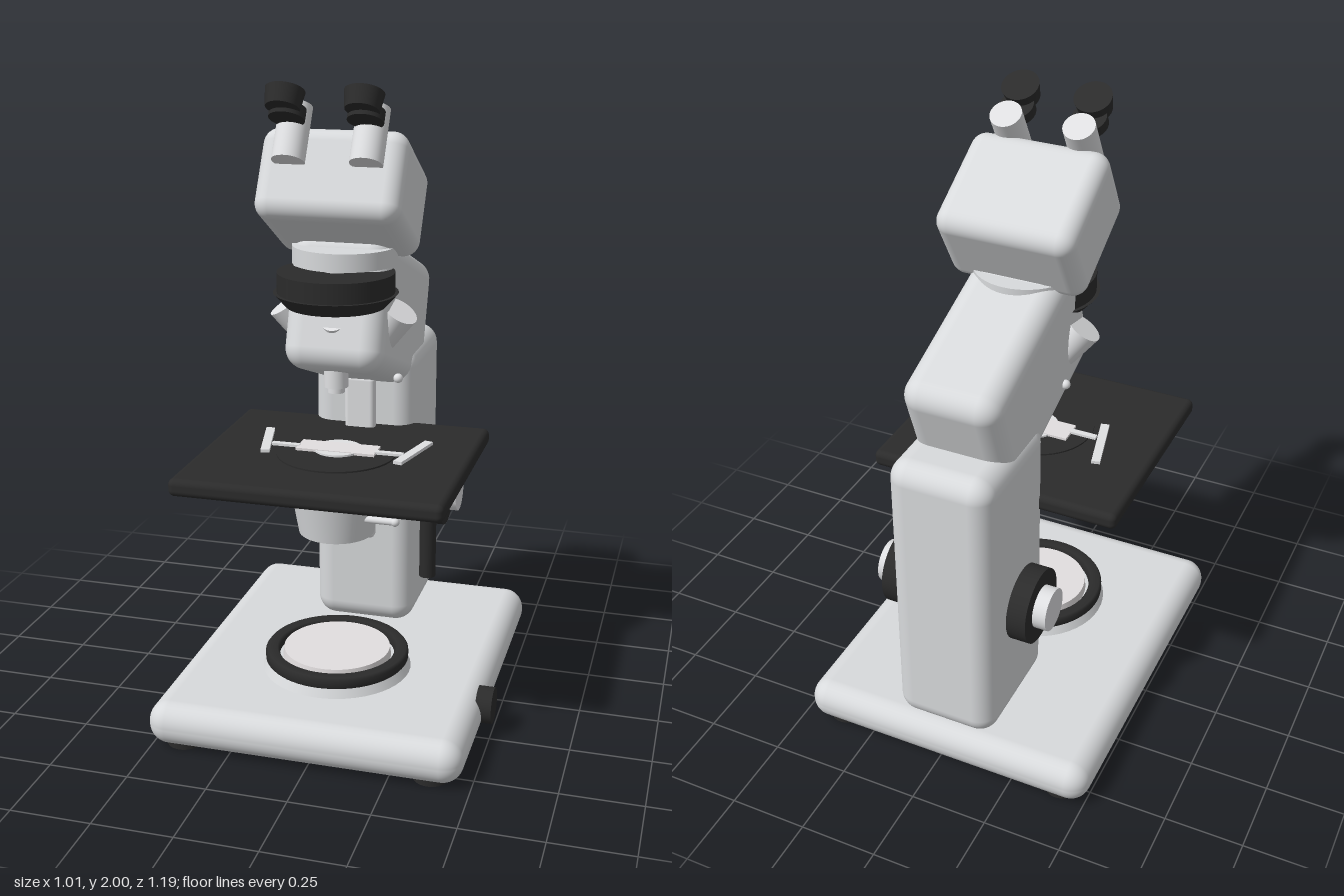
import * as THREE from 'three';
import { RoundedBoxGeometry } from 'three/addons/geometries/RoundedBoxGeometry.js';

const CX = -0.0175; // symmetry plane of the instrument
const material = (name, color) => {
  const m = new THREE.MeshStandardMaterial({ color });
  m.name = name;
  return m;
};

export function createModel() {
  const body = material('light grey enamel', 0xd8dadc);
  const metal = material('pale metal', 0xdfe0e2);
  const black = material('black plastic', 0x2b2b2b);
  const glass = material('pale lens', 0xe2dedf);

  const model = new THREE.Group();
  model.name = 'microscope';

  const add = (name, geometry, mat, x, y, z, parent = model) => {
    const mesh = new THREE.Mesh(geometry, mat);
    mesh.name = name;
    mesh.position.set(x, y, z);
    parent.add(mesh);
    return mesh;
  };
  const rounded = (name, w, h, d, r, mat, x, y, z, parent) =>
    add(name, new RoundedBoxGeometry(w, h, d, 6, r), mat, x, y, z, parent);
  const disc = (name, rTop, rBottom, h, mat, x, y, z, parent) =>
    add(name, new THREE.CylinderGeometry(rTop, rBottom, h, 48), mat, x, y, z, parent);
  // Cylinder lying along x
  const sideDisc = (name, r, x0, x1, mat, y, z) => {
    const m = disc(name, r, r, Math.abs(x1 - x0), mat, (x0 + x1) / 2, y, z);
    m.rotation.z = Math.PI / 2;
    return m;
  };
  // Tapered barrel between two points
  const barrel = (name, a, b, ra, rb, mat) => {
    const from = new THREE.Vector3(...a), to = new THREE.Vector3(...b);
    const axis = from.clone().sub(to);
    const mid = from.clone().add(to).multiplyScalar(0.5);
    const m = disc(name, ra, rb, axis.length(), mat, mid.x, mid.y, mid.z);
    m.quaternion.setFromUnitVectors(new THREE.Vector3(0, 1, 0), axis.normalize());
    return m;
  };

  // Base, feet and lamp dial
  rounded('base', 0.985, 0.137, 1.19, 0.065, body, CX, 0.0775, 0);
  for (const sx of [-1, 1]) for (const sz of [-1, 1])
    disc('foot', 0.055, 0.055, 0.02, black, CX + sx * 0.39, 0.01, sz * 0.51);
  sideDisc('lampDial', 0.057, 0.455, 0.505, black, 0.095, 0.21);

  // Illuminator
  disc('lampFlange', 0.222, 0.24, 0.04, body, CX, 0.16, 0.16);
  const ringProfile = [[0.185, 0.17], [0.222, 0.17], [0.229, 0.178], [0.229, 0.2],
    [0.222, 0.209], [0.192, 0.209], [0.185, 0.2], [0.185, 0.17]];
  add('lampRing', new THREE.LatheGeometry(ringProfile.map(p => new THREE.Vector2(...p)), 64),
    black, CX, 0, 0.16);
  disc('lampLens', 0.17, 0.175, 0.04, glass, CX, 0.19, 0.16);

  // Column and inclined arm
  rounded('column', 0.335, 0.97, 0.42, 0.065, body, CX, 0.635, -0.36);
  rounded('arm', 0.31, 0.423, 0.652, 0.065, body, CX, 1.244, -0.129)
    .rotation.x = -Math.PI / 9;

  // Focus knobs
  for (const s of [-1, 1]) {
    const x = d => CX + s * d;
    sideDisc('focusAxle', 0.05, x(0.15), x(0.2), metal, 0.577, -0.362);
    sideDisc('coarseKnob', 0.12, x(0.182), x(0.245), black, 0.577, -0.362);
    sideDisc('fineKnob', 0.068, x(0.24), x(0.288), metal, 0.577, -0.362);
  }

  // Stage with rack, slide and clips
  rounded('stage', 0.83, 0.055, 0.73, 0.02, black, CX - 0.002, 0.8375, 0.155);
  rounded('stageRack', 0.1, 0.56, 0.04, 0.015, metal, CX, 0.755, -0.125);
  disc('stageInsert', 0.185, 0.185, 0.006, black, CX, 0.867, 0.16);
  add('slide', new THREE.BoxGeometry(0.25, 0.008, 0.085), glass, CX, 0.874, 0.14);
  disc('slideRing', 0.075, 0.075, 0.006, metal, CX, 0.873, 0.14);
  for (const s of [-1, 1]) {
    const clip = add('stageClip', new THREE.BoxGeometry(0.028, 0.01, 0.215), metal,
      CX + s * 0.235, 0.875, 0.123);
    clip.rotation.y = -s * 0.24;
    add('clipFinger', new THREE.BoxGeometry(0.09, 0.008, 0.02), metal,
      CX + s * 0.165, 0.875, 0.15);
  }
  disc('stageHandle', 0.024, 0.024, 0.19, black, 0.32, 0.68, 0.367);

  // Condenser below the stage
  disc('condenser', 0.143, 0.118, 0.142, body, CX, 0.681, 0.16);
  add('condenserLens', new THREE.SphereGeometry(0.09, 32, 16, 0, Math.PI * 2, 0, Math.PI / 2),
    glass, CX, 0.718, 0.16);
  sideDisc('apertureLever', 0.011, 0.08, 0.19, metal, 0.68, 0.22);
  add('leverTip', new THREE.SphereGeometry(0.014, 16, 12), metal, 0.185, 0.68, 0.22);

  // Revolving nosepiece and head mount
  disc('headMount', 0.161, 0.161, 0.055, body, CX, 1.4725, 0.058);
  disc('mountNeck', 0.048, 0.048, 0.06, metal, CX, 1.44, 0.145);
  disc('nosepieceRing', 0.177, 0.177, 0.062, black, CX, 1.406, 0.158);
  disc('nosepieceCone', 0.188, 0.15, 0.042, black, CX, 1.354, 0.158);

  // Objectives
  for (const s of [-1, 1])
    barrel('sideObjective', [CX + s * 0.18, 1.31, 0.087], [CX + s * 0.095, 1.175, 0.057],
      0.058, 0.038, metal);
  barrel('frontObjective', [CX, 1.288, 0.185], [CX, 1.15, 0.1], 0.038, 0.035, metal);
  disc('mainObjective', 0.037, 0.037, 0.14, metal, CX, 1.15, 0.158);
  disc('mainObjectiveTip', 0.026, 0.026, 0.02, metal, CX, 1.072, 0.158);

  // Small screws on the arm
  for (const [x, y, z, m] of [[0.14, 1.075, 0.01, metal], [-0.178, 1.15, 0.0, metal], [0.136, 1.26, 0.02, black]])
    add('armScrew', new THREE.SphereGeometry(0.015, 16, 12), m, x, y, z);

  // Binocular head, tilted toward the viewer
  const head = new THREE.Group();
  head.name = 'binocularHead';
  head.position.set(CX, 1.657, 0.079);
  head.rotation.x = -Math.PI / 6;
  model.add(head);
  rounded('headHousing', 0.44, 0.282, 0.364, 0.05, body, 0, 0, 0, head);
  for (const s of [-1, 1]) {
    const x = s * 0.116;
    disc('eyeTube', 0.049, 0.049, 0.172, metal, x, 0.099, 0.203, head);
    disc('eyepieceRing', 0.053, 0.053, 0.035, black, x, 0.131, 0.27, head);
    disc('eyecup', 0.058, 0.05, 0.055, black, x, 0.153, 0.318, head);
  }
  return model;
}
